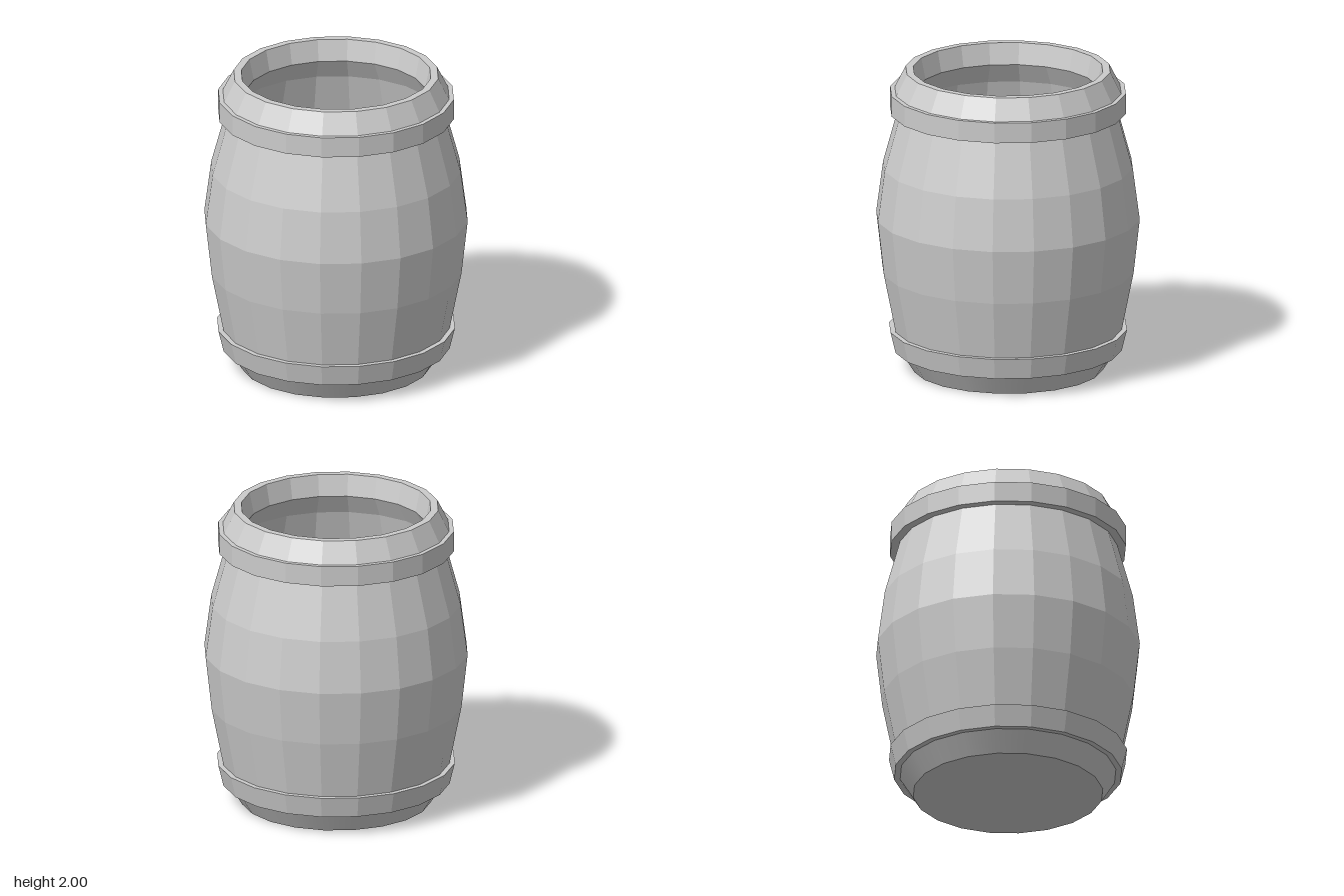
import * as THREE from 'three';

const SIDES = 20;

export function createModel() {
  const barrel = new THREE.Group();
  barrel.name = 'barrel';

  // Revolve a [radius, height] profile into a faceted ring
  const addRing = (name, profile, flatShading = true) => {
    const points = profile.map(([r, y]) => new THREE.Vector2(r, y));
    const material = new THREE.MeshStandardMaterial({ color: 0xcccccc, flatShading });
    const mesh = new THREE.Mesh(new THREE.LatheGeometry(points, SIDES), material);
    mesh.name = name;
    barrel.add(mesh);
  };

  // Underside and softly shaded foot
  addRing('base', [[0, 0], [0.615, 0]]);
  addRing('foot', [[0.615, 0], [0.7, 0.135]], false);

  // Bulging staves
  addRing('staves', [
    [0.738, 0.275], [0.815, 0.66], [0.855, 1.02], [0.81, 1.36], [0.71, 1.725],
  ]);

  // Hoops with small ledges above and below
  addRing('lowerHoop', [[0.7, 0.135], [0.738, 0.135], [0.772, 0.275], [0.738, 0.275]]);
  addRing('upperHoop', [[0.71, 1.725], [0.765, 1.725], [0.765, 1.86], [0.735, 1.86]]);

  // Sloping collar and flat rim
  addRing('rim', [[0.735, 1.86], [0.664, 2], [0.615, 2]]);

  // Hollow inside, down to the floor
  addRing('interior', [
    [0.615, 2], [0.6, 1.93], [0.585, 1.86], [0.66, 1.725], [0.76, 1.36], [0.8, 1.02],
    [0.765, 0.66], [0.685, 0.275], [0.64, 0.135], [0.58, 0.05], [0, 0.05],
  ]);

  return barrel;
}
